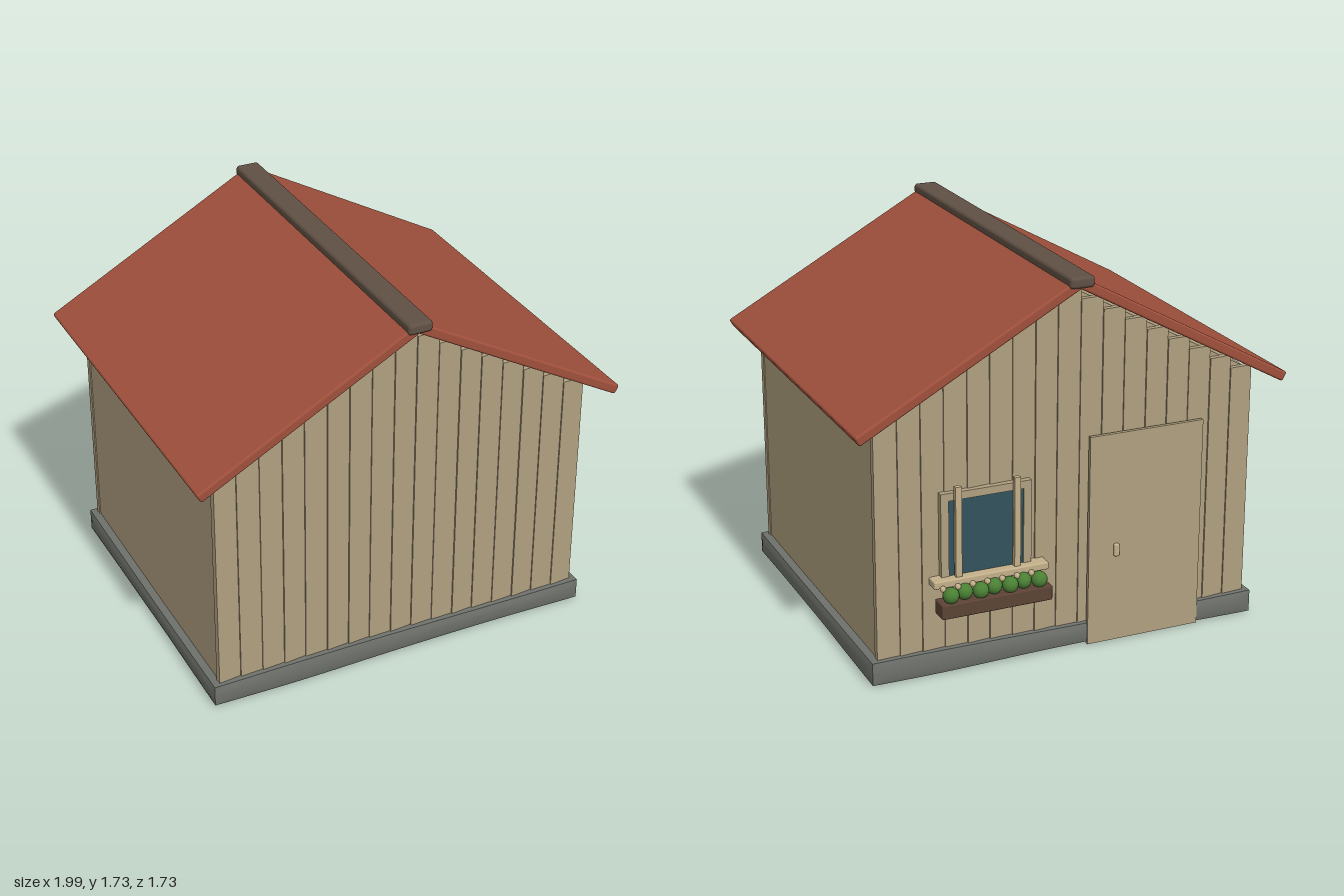
import * as THREE from 'three';
import { RoundedBoxGeometry } from 'three/addons/geometries/RoundedBoxGeometry.js';

const flat = (name, color, side = THREE.FrontSide) => {
  const m = new THREE.MeshStandardMaterial({ color, side });
  m.name = name;
  return m;
};

export function createModel() {
  const mats = {
    wood: flat('pale wood', 0xb0a080),
    roof: flat('red roof', 0xa0503c),
    stone: flat('grey stone', 0x6e716b),
    ridge: flat('dark ridge wood', 0x5f5044),
    glass: flat('blue glass', 0x34525e),
    planter: flat('brown planter', 0x5c4335),
    leaf: flat('green leaf', 0x4a8034),
    bloom: flat('cream wood', 0xc4b08a),
  };
  const house = new THREE.Group();
  house.name = 'gardenShed';

  const add = (name, geometry, material, x = 0, y = 0, z = 0, parent = house) => {
    const mesh = new THREE.Mesh(geometry, material);
    mesh.name = name;
    mesh.position.set(x, y, z);
    parent.add(mesh);
    return mesh;
  };
  // Box given by its limits on each axis
  const block = (name, mat, [x0, x1], [y0, y1], [z0, z1], parent = house) =>
    add(name, new THREE.BoxGeometry(x1 - x0, y1 - y0, z1 - z0), mat,
      (x0 + x1) / 2, (y0 + y1) / 2, (z0 + z1) / 2, parent);
  const group = (name) => {
    const g = new THREE.Group();
    g.name = name;
    house.add(g);
    return g;
  };

  const SLOPE = 0.55;
  const PITCH = Math.atan(SLOPE);

  // Stone base: slightly uneven slab with softened edges
  const base = new THREE.BoxGeometry(1.84, 0.11, 1.54, 40, 4, 36);
  const p = base.attributes.position;
  for (let i = 0; i < p.count; i++) {
    let x = p.getX(i), y = p.getY(i), z = p.getZ(i);
    const edges = (Math.abs(x) > 0.919) + (Math.abs(y) > 0.054) + (Math.abs(z) > 0.769);
    if (edges > 1) {
      if (Math.abs(x) > 0.919) x -= Math.sign(x) * 0.007;
      if (Math.abs(z) > 0.769) z -= Math.sign(z) * 0.007;
      y -= Math.sign(y) * 0.004;
    }
    if (y > 0) y += 0.004 * Math.sin(x * 3 + z * 2 + 1);
    else {
      const u = 0.92 - x - 0.83 * (z + 0.77) + 0.06 * Math.sin(z * 7 + x * 5);
      y += 0.005 + 0.005 * Math.cos((u + 0.63) * 3.76);
    }
    p.setXYZ(i, x, y, z);
  }
  base.computeVertexNormals();
  add('stoneBase', base, mats.stone, 0, 0.055, 0);

  // Walls: one gabled body reaching down to the floor
  const gable = new THREE.Shape();
  gable.moveTo(-0.878, 0.006);
  gable.lineTo(0.878, 0.006);
  gable.lineTo(0.878, 1.167);
  gable.lineTo(0, 1.65);
  gable.lineTo(-0.878, 1.167);
  gable.closePath();
  const body = new THREE.ExtrudeGeometry(gable, { depth: 1.44, bevelEnabled: false });
  add('walls', body.translate(0, 0, -0.72), mats.wood);

  // Upright planks on both gables, stepped under the roof and slightly turned
  for (const side of [1, -1]) {
    const planks = group(side > 0 ? 'frontPlanks' : 'backPlanks');
    for (let i = -8; i <= 8; i++) {
      const top = 1.65 - 0.058 * Math.abs(i);
      const plank = block('plank', mats.wood, [i * 0.104 - 0.052, i * 0.104 + 0.052],
        [0.05, top], [side * 0.728 - 0.014, side * 0.728 + 0.014], planks);
      plank.rotation.y = 0.06 + 0.03 * Math.sin(i * 2.3 + side);
    }
  }

  // Roof slabs and ridge cap
  const slabLength = 1 / Math.cos(PITCH);
  for (const side of [1, -1]) {
    const t = 0.0225;
    const slab = add(side > 0 ? 'leftRoof' : 'rightRoof',
      new RoundedBoxGeometry(slabLength, 2 * t, 1.706, 2, 0.01), mats.roof,
      side * (0.5 - t * Math.sin(PITCH)), 1.72 - SLOPE / 2 - t * Math.cos(PITCH), 0);
    slab.rotation.z = -side * PITCH;
  }
  add('ridgeCap', new RoundedBoxGeometry(0.112, 0.05, 1.73, 2, 0.015), mats.ridge, 0, 1.7, 0);

  // Door on the back gable
  const door = group('door');
  block('doorLining', mats.glass, [-0.6, -0.11], [0.11, 0.94], [-0.757, -0.73], door);
  block('doorPanel', mats.wood, [-0.635, -0.09], [0.004, 0.98], [-0.774, -0.757], door);
  add('doorHandle', new RoundedBoxGeometry(0.026, 0.06, 0.02, 2, 0.008), mats.bloom,
    -0.22, 0.44, -0.782, door);

  // Window with border, glass, two uprights and a sill
  const win = group('window');
  const cx = 0.39;
  block('glassPane', mats.glass, [cx - 0.18, cx + 0.18], [0.44, 0.8], [-0.762, -0.735], win);
  for (const s of [1, -1]) {
    const e = cx + s * 0.19, u = cx + s * 0.135;
    block('frameSide', mats.wood, [e - 0.018, e + 0.018], [0.43, 0.83], [-0.768, -0.735], win);
    block('windowUpright', mats.bloom, [u - 0.014, u + 0.014], [0.43, 0.86], [-0.789, -0.768], win);
  }
  block('frameTop', mats.wood, [cx - 0.208, cx + 0.208], [0.795, 0.83], [-0.768, -0.735], win);
  add('windowSill', new RoundedBoxGeometry(0.53, 0.034, 0.07, 2, 0.006), mats.bloom,
    cx - 0.01, 0.435, -0.77, win);

  // Planter with bushes and small blooms
  const planter = group('planter');
  add('planterBox', new RoundedBoxGeometry(0.51, 0.066, 0.085, 2, 0.006), mats.planter,
    cx - 0.015, 0.33, -0.813, planter);
  const bush = new THREE.SphereGeometry(0.036, 16, 12);
  const bud = new THREE.SphereGeometry(0.014, 10, 8);
  for (let i = -3; i <= 3; i++) {
    const x = cx - 0.015 + i * 0.068;
    const z = i % 2 ? -0.826 : -0.81;
    add('bush', bush, mats.leaf, x, 0.392, z, planter);
    add('bloom', bud, mats.bloom, x + 0.03, 0.42, -0.812, planter);
  }
  return house;
}
